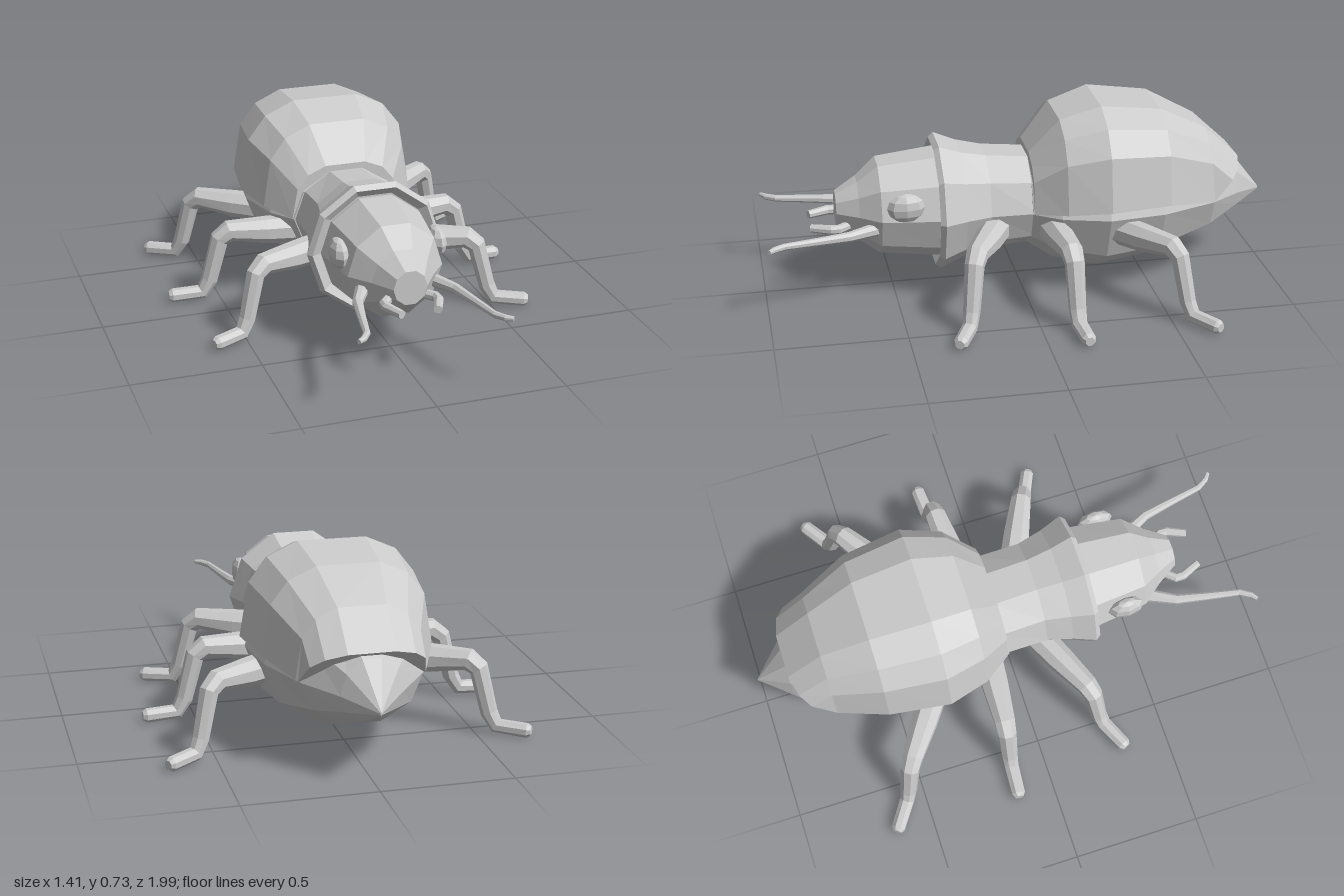
import * as THREE from 'three';

const material = new THREE.MeshStandardMaterial({ color: 0xcccccc, flatShading: true });
const V = (x, y, z) => new THREE.Vector3(x, y, z);

// Skin a list of equal-length rings and cap both ends.
function loft(name, rings) {
  const n = rings[0].length, index = [], last = (rings.length - 1) * n;
  for (let i = 0; i < rings.length - 1; i++) {
    for (let j = 0; j < n; j++) {
      const a = i * n + j, b = i * n + (j + 1) % n;
      index.push(a, a + n, b, b, a + n, b + n);
    }
  }
  for (let j = 1; j < n - 1; j++) {
    index.push(0, j, j + 1, last, last + j + 1, last + j);
  }
  const geometry = new THREE.BufferGeometry().setFromPoints(rings.flat());
  geometry.setIndex(index);
  geometry.computeVertexNormals();
  const mesh = new THREE.Mesh(geometry, material);
  mesh.name = name;
  return mesh;
}

// Ten-sided body section with flat top and bottom, widest at height mid.
function section([z, halfWidth, top, bottom, mid = 0.34]) {
  return Array.from({ length: 10 }, (_, j) => {
    const a = j * Math.PI / 5;
    const ry = (Math.sin(a) > 0 ? top - mid : mid - bottom) / Math.sin(Math.PI * 0.4);
    return V(halfWidth * Math.cos(a), mid + ry * Math.sin(a), z);
  });
}

// Domed shell section; lean sweeps its upper part backwards.
const dome = [[1, 0], [0.9, 0.59], [0.7, 0.85], [0.37, 1]];
const fullDome = [...dome, ...dome.map(([u, v]) => [-u, v]).reverse()];
function shellSection([z, halfWidth, base, top, lean = 0]) {
  return fullDome.map(([u, v]) => V(u * halfWidth, base + v * (top - base), z - lean * v));
}

// Tapering limb along a planar path; side is the normal of that plane.
function limb(name, points, radii, side, sides = 8) {
  const rings = points.map((p, i) => {
    const before = points[Math.max(i - 1, 0)], after = points[Math.min(i + 1, points.length - 1)];
    const t1 = p.clone().sub(before).normalize(), t2 = after.clone().sub(p).normalize();
    const up = side.clone().cross(t1.add(t2).normalize());
    return Array.from({ length: sides }, (_, j) => {
      const a = (j + 0.5) * 2 * Math.PI / sides;
      return p.clone()
        .addScaledVector(side, radii[i] * Math.cos(a))
        .addScaledVector(up, radii[i] * Math.sin(a));
    });
  });
  return loft(name, rings);
}

export function createModel() {
  const model = new THREE.Group();
  model.name = 'beetle';

  // Head, narrowing to a blunt snout
  model.add(loft('head', [
    [0.715, 0.065, 0.405, 0.275], [0.63, 0.12, 0.455, 0.215], [0.55, 0.185, 0.522, 0.16],
    [0.33, 0.215, 0.545, 0.135], [0.28, 0.21, 0.54, 0.14],
  ].map(section)));

  // Thorax with a flared collar, recessed around the head
  model.add(loft('thorax', [
    [0.315, 0.215, 0.55, 0.13], [0.335, 0.252, 0.578, 0.1], [0.315, 0.268, 0.595, 0.085],
    [0.23, 0.235, 0.562, 0.12], [0.13, 0.208, 0.54, 0.148], [-0.05, 0.21, 0.522, 0.165],
  ].map(section)));

  // Abdomen, ending in a point
  model.add(loft('abdomen', [
    [-0.03, 0.215, 0.52, 0.165], [-0.13, 0.285, 0.58, 0.1], [-0.31, 0.335, 0.63, 0.058],
    [-0.53, 0.31, 0.62, 0.088], [-0.75, 0.228, 0.555, 0.167],
    [-0.88, 0.115, 0.455, 0.225, 0.325], [-1, 0.003, 0.3, 0.288, 0.295],
  ].map(section)));

  // Wing cases forming a domed shell
  model.add(loft('wingCases', [
    [-0.035, 0.22, 0.342, 0.548], [-0.15, 0.305, 0.362, 0.685], [-0.31, 0.355, 0.38, 0.735],
    [-0.55, 0.322, 0.38, 0.705], [-0.74, 0.243, 0.347, 0.605], [-0.75, 0.235, 0.345, 0.475, 0.13],
  ].map(shellSection)));

  // Leg path: distance back from the foot tip, height, radius
  const legPath = [
    [-0.52, 0.272, 0.058], [-0.4, 0.275, 0.055], [-0.25, 0.285, 0.043], [-0.21, 0.255, 0.038],
    [-0.165, 0.085, 0.033], [-0.135, 0.035, 0.03], [-0.015, 0.03, 0.028], [0, 0.03, 0.018],
  ];
  // Name, foot tip x and z, outward heading in degrees
  const legs = [['front', 0.64, 0.33, 25], ['middle', 0.705, -0.145, -4], ['rear', 0.69, -0.65, -34]];

  for (const s of [1, -1]) {
    const label = s > 0 ? 'left' : 'right';
    for (const [which, x, z, degrees] of legs) {
      const a = THREE.MathUtils.degToRad(degrees), c = Math.cos(a), d = Math.sin(a);
      model.add(limb(`${label} ${which} leg`,
        legPath.map(([l, y]) => V(s * (x + l * c), y, z + l * d)),
        legPath.map((p) => p[2]), V(-s * d, 0, c)));
    }

    // Curved antenna and short jointed mouthpart
    const antenna = [[0.12, 0.53], [0.15, 0.6], [0.19, 0.68], [0.215, 0.8], [0.24, 0.93], [0.265, 0.97], [0.288, 0.988]];
    model.add(limb(`${label} antenna`, antenna.map(([x, z], i) => V(s * x, 0.293 + i * 0.001, z)),
      [0.026, 0.025, 0.02, 0.016, 0.013, 0.012, 0.009], V(0, 1, 0)));
    const feeler = [[0.05, 0.65], [0.1, 0.71], [0.1, 0.74], [0.068, 0.815]];
    model.add(limb(`${label} mouthpart`, feeler.map(([x, z]) => V(s * x, 0.29, z)),
      [0.018, 0.019, 0.019, 0.016], V(0, 1, 0)));

    // Eye
    const eye = new THREE.Mesh(new THREE.SphereGeometry(1, 8, 6), material);
    eye.name = `${label} eye`;
    eye.scale.set(0.036, 0.058, 0.073);
    eye.position.set(s * 0.192, 0.398, 0.46);
    model.add(eye);
  }
  return model;
}
